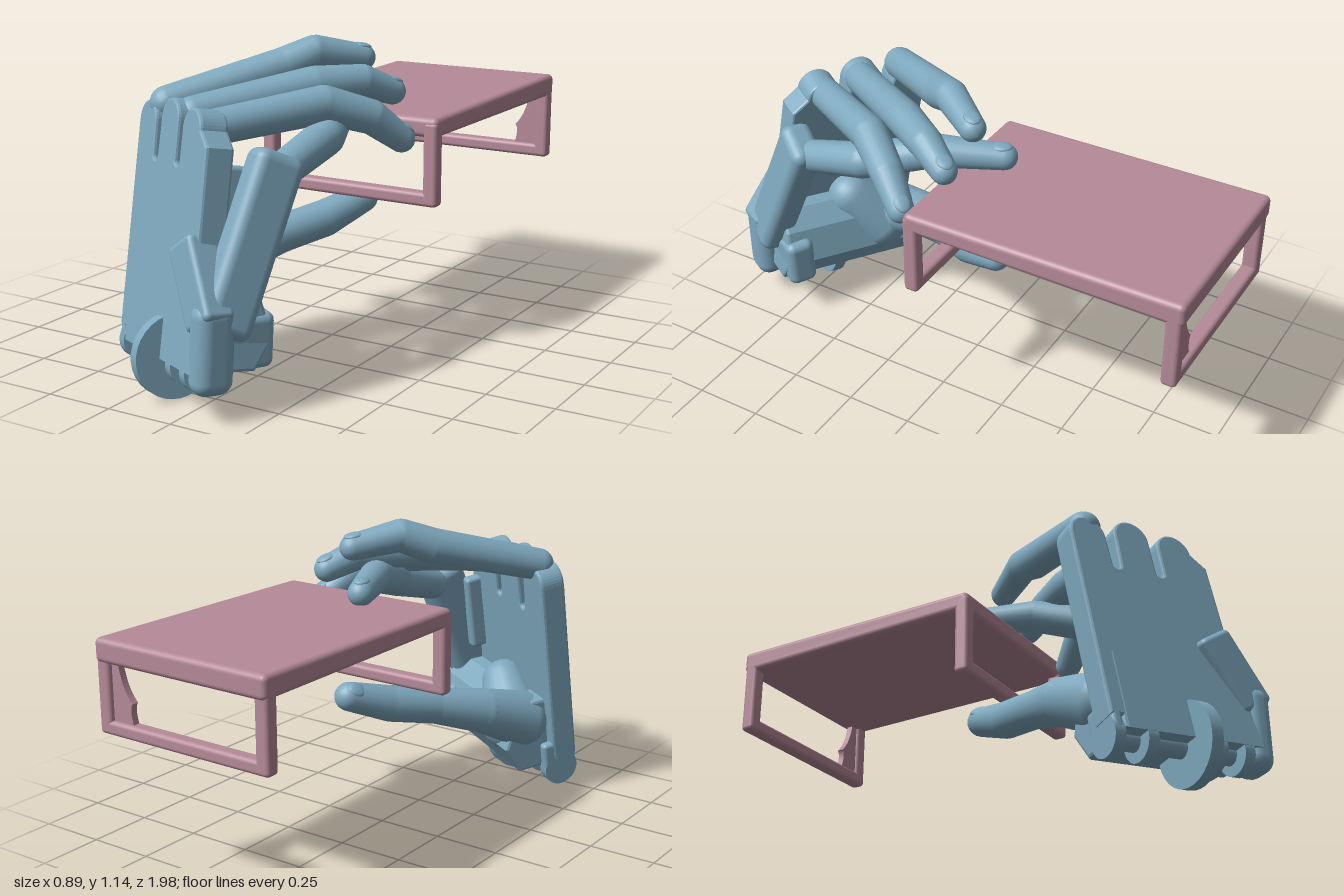
import * as THREE from 'three';
import { RoundedBoxGeometry } from 'three/addons/geometries/RoundedBoxGeometry.js';

const blue = new THREE.MeshStandardMaterial({ color: 0x7fa9bf });
const pink = new THREE.MeshStandardMaterial({ color: 0xb58a99 });
const V = (p) => new THREE.Vector3(...p);

function add(parent, name, geometry, material, position = [0, 0, 0]) {
  const mesh = new THREE.Mesh(geometry, material);
  mesh.name = name;
  mesh.position.set(...position);
  parent.add(mesh);
  return mesh;
}

function roundedBox(parent, name, size, position, material = blue, radius = 0.015) {
  return add(parent, name, new RoundedBoxGeometry(...size, 3, radius), material, position);
}

// Tapered bone with round ends between two points
function bone(parent, name, from, to, r0, r1) {
  const a = V(from), b = V(to), length = a.distanceTo(b);
  const profile = [];
  for (let i = 0; i <= 6; i++) {
    const t = (i / 6) * Math.PI / 2;
    profile.push(new THREE.Vector2(r0 * Math.sin(t), -r0 * Math.cos(t)));
  }
  for (let i = 0; i <= 6; i++) {
    const t = (i / 6) * Math.PI / 2;
    profile.push(new THREE.Vector2(r1 * Math.cos(t), length + r1 * Math.sin(t)));
  }
  const mesh = add(parent, name, new THREE.LatheGeometry(profile, 20), blue, from);
  mesh.quaternion.setFromUnitVectors(new THREE.Vector3(0, 1, 0), b.sub(a).normalize());
}

// Box laid between two points, its broad side turned towards the given direction
function beam(parent, name, from, to, width, depth, facing, radius) {
  const a = V(from), b = V(to);
  const y = b.clone().sub(a).normalize();
  const x = y.clone().cross(V(facing)).normalize();
  const z = x.clone().cross(y);
  const middle = a.clone().add(b).multiplyScalar(0.5).toArray();
  const mesh = roundedBox(parent, name, [width, a.distanceTo(b), depth], middle, blue, radius);
  mesh.quaternion.setFromRotationMatrix(new THREE.Matrix4().makeBasis(x, y, z));
}

// Chain of bones with a nail on the last one
function finger(parent, name, points, radii, nailUp) {
  const group = new THREE.Group();
  group.name = name;
  for (let i = 0; i < points.length - 1; i++) {
    bone(group, 'bone' + (i + 1), points[i], points[i + 1], radii[i], radii[i + 1]);
  }
  const tip = V(points.at(-1)), along = tip.clone().sub(V(points.at(-2))).normalize();
  const side = along.clone().cross(V(nailUp)).normalize();
  const up = side.clone().cross(along);
  const nail = add(group, 'nail', new THREE.SphereGeometry(1, 16, 10), blue,
    tip.clone().addScaledVector(up, radii.at(-1) * 0.85).addScaledVector(along, -0.01).toArray());
  nail.quaternion.setFromRotationMatrix(new THREE.Matrix4().makeBasis(side, along, up));
  nail.scale.set(0.03, 0.038, 0.012);
  parent.add(group);
}

// Back-of-hand plate with three knuckle heads parted by slots
function palmShape() {
  const s = new THREE.Shape();
  s.moveTo(-0.28, -0.32);
  s.lineTo(-0.28, 0.38);
  [-0.217, -0.037, 0.137].forEach((x, i, all) => {
    s.lineTo(x - 0.062, 0.38);
    s.absarc(x, 0.38 + (i === 1 ? 0.03 : 0.01), 0.062, Math.PI, 0, true);
    if (i < all.length - 1) {
      const mid = (x + all[i + 1]) / 2;
      s.lineTo(mid - 0.024, 0.28);
      s.absarc(mid, 0.28, 0.024, Math.PI, Math.PI * 2, false);
    }
  });
  s.lineTo(0.255, 0.34);
  s.lineTo(0.27, -0.32);
  s.closePath();
  return s;
}

function buildPalm(hand) {
  const palm = new THREE.Group();
  palm.name = 'palm';
  palm.position.set(-0.17, 0.5, 0.72);
  palm.rotation.set(-0.165, -0.52, 0.08, 'YXZ');
  hand.add(palm);

  const plate = new THREE.ExtrudeGeometry(palmShape(), {
    depth: 0.08, bevelEnabled: true, bevelSize: 0.008, bevelThickness: 0.01, bevelSegments: 2, curveSegments: 10,
  });
  add(palm, 'backPlate', plate, blue, [0, 0, -0.04]);

  // Heel block at the wrist, chamfered on its inner side
  const heel = new THREE.Shape([[0.04, -0.36], [0.04, -0.1], [-0.1, -0.09], [-0.17, -0.14], [-0.22, -0.25], [-0.17, -0.35]]
    .map(([z, y]) => new THREE.Vector2(-z, y)));
  const heelGeometry = new THREE.ExtrudeGeometry(heel, {
    depth: 0.53, bevelEnabled: true, bevelSize: 0.012, bevelThickness: 0.012, bevelSegments: 2,
  });
  heelGeometry.rotateY(Math.PI / 2).translate(-0.23, 0, 0);
  add(palm, 'heel', heelGeometry, blue);

  // Hinge lugs and the large wrist disc
  const lug = (name, x, y, z, r, width) => {
    const g = new THREE.CylinderGeometry(r, r, width, 32).rotateZ(Math.PI / 2);
    add(palm, name, g, blue, [x, y, z]);
  };
  for (const x of [-0.265, -0.14, 0.13, 0.24]) {
    lug('wristLug', x, -0.375, -0.02, 0.07, 0.04);
    roundedBox(palm, 'lugArm', [0.04, 0.12, 0.14], [x, -0.32, -0.02]);
  }
  lug('wristPin', -0.02, -0.37, -0.03, 0.035, 0.5);
  lug('wristDisc', 0.045, -0.365, -0.01, 0.145, 0.045);
  roundedBox(palm, 'sideWing', [0.05, 0.3, 0.1], [0.225, 0.14, -0.06]);
}

function buildHand(root) {
  const hand = new THREE.Group();
  hand.name = 'hand';
  root.add(hand);
  buildPalm(hand);

  // Outer metacarpal with its bent bracket
  beam(hand, 'outerMetacarpal', [0.12, 0.28, 0.89], [0.18, 0.83, 0.63], 0.12, 0.18, [-0.5, 0.3, 0.8], 0.04);
  beam(hand, 'bracketArm', [-0.025, 0.56, 0.83], [0.11, 0.32, 0.92], 0.15, 0.11, [-0.45, 0.2, 0.85], 0.02);
  beam(hand, 'bracketFoot', [0.115, 0.4, 0.91], [0.1, 0.09, 0.92], 0.11, 0.14, [-0.5, 0, 0.86], 0.05);
  beam(hand, 'outerHeel', [0.12, 0.33, 0.78], [0.11, 0.14, 0.78], 0.11, 0.22, [-0.5, 0, 0.86], 0.03);

  // Fingers
  const radii = [0.06, 0.066, 0.06, 0.048];
  const up = [0, 1, 0];
  finger(hand, 'firstFinger', [[-0.33, 0.93, 0.54], [-0.08, 1.03, 0.2], [-0.005, 1.075, 0.11], [0.1, 1.045, -0.04]], radii, up);
  finger(hand, 'secondFinger', [[-0.17, 0.92, 0.61], [0.08, 0.985, 0.25], [0.18, 0.985, 0.1], [0.24, 0.94, -0.01]], radii, up);
  finger(hand, 'thirdFinger', [[-0.035, 0.9, 0.68], [0.17, 0.94, 0.34], [0.275, 0.885, 0.2], [0.34, 0.8, 0.105]], radii, up);
  finger(hand, 'outerFinger', [[0.175, 0.77, 0.59], [0.19, 0.835, 0.36], [0.1, 0.91, 0.1], [0.01, 0.905, -0.115]], radii, up);

  // Thumb with its muscle
  finger(hand, 'thumb', [[-0.26, 0.3, 0.56], [-0.2, 0.37, 0.38], [-0.1, 0.42, 0.2], [-0.01, 0.455, 0.04], [0.065, 0.51, -0.115]],
    [0.11, 0.086, 0.068, 0.068, 0.054], [-0.6, 0.6, 0]);
  bone(hand, 'thumbMuscle', [-0.13, 0.4, 0.66], [-0.21, 0.28, 0.59], 0.09, 0.13);
}

function buildTable(root) {
  const table = new THREE.Group();
  table.name = 'table';
  root.add(table);

  // Slightly uneven top
  const top = new RoundedBoxGeometry(0.72, 0.07, 1.03, 8, 0.02);
  top.translate(0.08, 0.83, -0.48);
  const p = top.attributes.position;
  for (let i = 0; i < p.count; i++) {
    if (p.getY(i) > 0.83) p.setY(i, p.getY(i) - 0.015 * p.getZ(i));
  }
  add(table, 'tableTop', top, pink);

  // End frames: two legs and a foot bar each
  for (const z of [0.01, -0.96]) {
    for (const x of [-0.253, 0.413]) {
      roundedBox(table, 'leg', [0.054, 0.3, 0.055], [x, 0.7, z], pink);
    }
    roundedBox(table, 'footBar', [0.72, 0.05, 0.055], [0.08, 0.573, z], pink);
  }

  // Thin gusset on one back leg
  const web = new THREE.Shape();
  web.moveTo(0.41, 0.57);
  web.lineTo(0.29, 0.57);
  web.quadraticCurveTo(0.32, 0.65, 0.3, 0.67);
  web.quadraticCurveTo(0.35, 0.72, 0.36, 0.82);
  web.lineTo(0.41, 0.82);
  add(table, 'gusset', new THREE.ExtrudeGeometry(web, { depth: 0.025, bevelEnabled: false }), pink, [0, 0, -0.97]);
}

export function createModel() {
  const root = new THREE.Group();
  root.name = 'handHoldingTable';
  buildHand(root);
  buildTable(root);
  return root;
}
